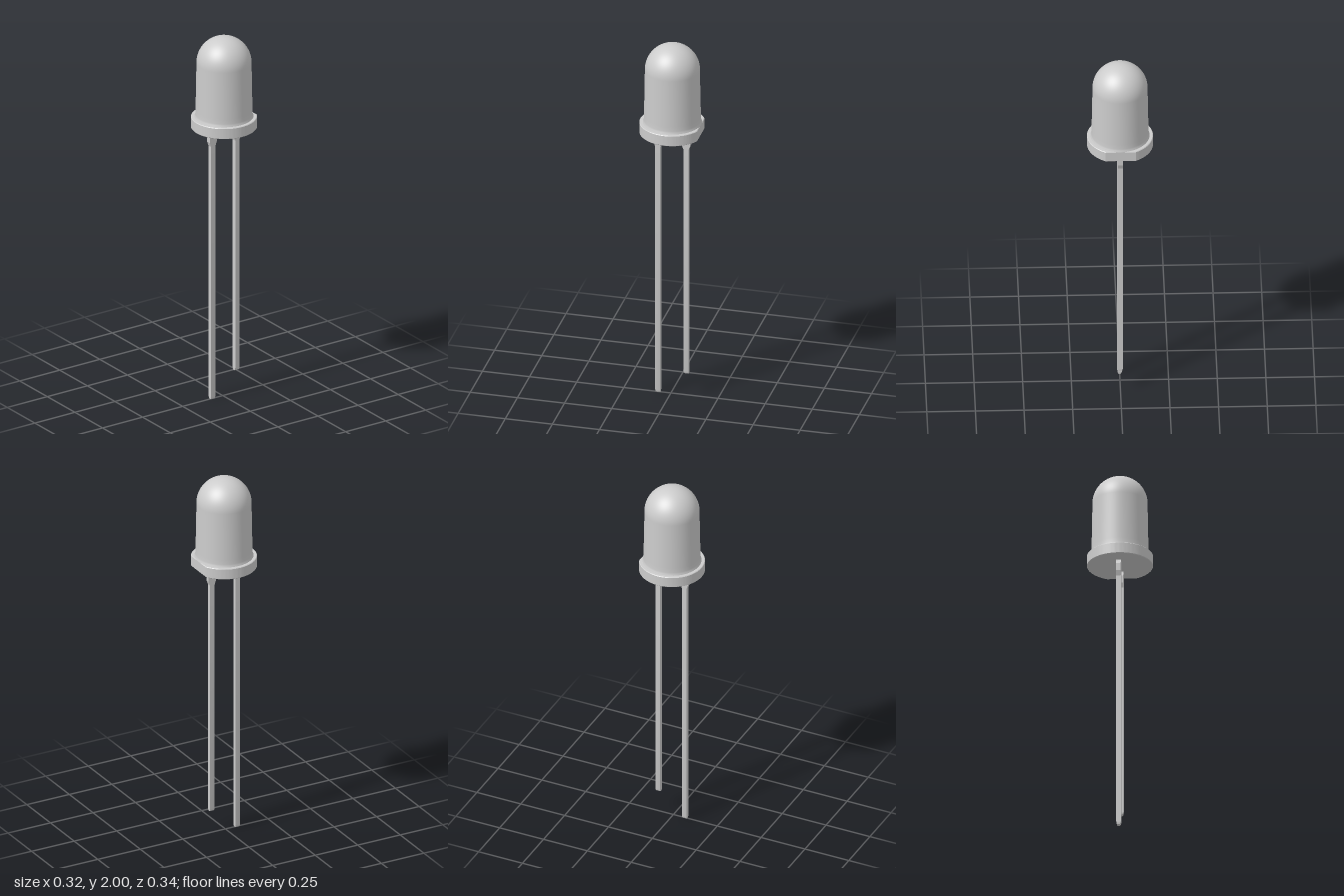
import * as THREE from 'three';
import { toCreasedNormals } from 'three/addons/utils/BufferGeometryUtils.js';

const AXIS_X = 0.008; // axis of the lens and flange

// Flat-sided bar through rows of [y, half width, half depth], top to bottom
function leadGeometry(rows) {
  const geo = new THREE.BoxGeometry(1, 1, 1, 1, rows.length - 1, 1);
  const pos = geo.attributes.position;
  for (let i = 0; i < pos.count; i++) {
    const [y, w, d] = rows[Math.round((0.5 - pos.getY(i)) * (rows.length - 1))];
    pos.setXYZ(i, Math.sign(pos.getX(i)) * w, y, Math.sign(pos.getZ(i)) * d);
  }
  return toCreasedNormals(geo, 0.3);
}

export function createModel() {
  const group = new THREE.Group();
  const grey = new THREE.MeshStandardMaterial({ color: 0xcccccc });
  grey.name = 'light grey';

  const add = (name, geo, x) => {
    const mesh = new THREE.Mesh(geo, grey);
    mesh.name = name;
    mesh.position.x = x;
    group.add(mesh);
  };

  // Lens: small fillet at the foot, slightly drafted wall, round dome
  const R = 0.142, domeY = 2 - R;
  const profile = [
    [0.152, 1.555], [0.152, 1.56], [0.149, 1.565], [0.147, 1.575],
    [0.1465, 1.6], [0.143, 1.77],
  ].map(([x, y]) => new THREE.Vector2(x, y));
  for (let i = 0; i <= 20; i++) {
    const a = (i / 20) * Math.PI / 2;
    profile.push(new THREE.Vector2(i === 20 ? 0 : R * Math.cos(a), domeY + R * Math.sin(a)));
  }
  add('lens', new THREE.LatheGeometry(profile, 64), AXIS_X);

  // Flange: disc with one flat side and softly broken edges
  const bevel = 0.003, r = 0.17 - bevel, flat = 0.151 - bevel;
  const a = Math.acos(flat / r);
  const outline = new THREE.Shape();
  outline.absarc(0, 0, r, a, 2 * Math.PI - a, false);
  outline.closePath();
  const flange = new THREE.ExtrudeGeometry(outline, {
    depth: 0.06 - 2 * bevel, curveSegments: 64,
    bevelEnabled: true, bevelSize: bevel, bevelThickness: bevel, bevelSegments: 1,
  });
  flange.rotateX(-Math.PI / 2);
  flange.translate(0, 1.5 + bevel, 0);
  add('flange', toCreasedNormals(flange, 0.4), AXIS_X);

  // Leads: widened shoulder under the flange, tip tapered front to back
  for (const [name, x, end] of [['longLead', -0.067, 0], ['shortLead', 0.083, 0.125]]) {
    add(name, leadGeometry([
      [1.51, 0.013, 0.012], [1.495, 0.014, 0.012], [1.475, 0.022, 0.012],
      [1.435, 0.022, 0.012], [1.41, 0.013, 0.012],
      [end + 0.016, 0.013, 0.012], [end + 0.005, 0.013, 0.009], [end, 0.012, 0.005],
    ]), x);
  }

  return group;
}
